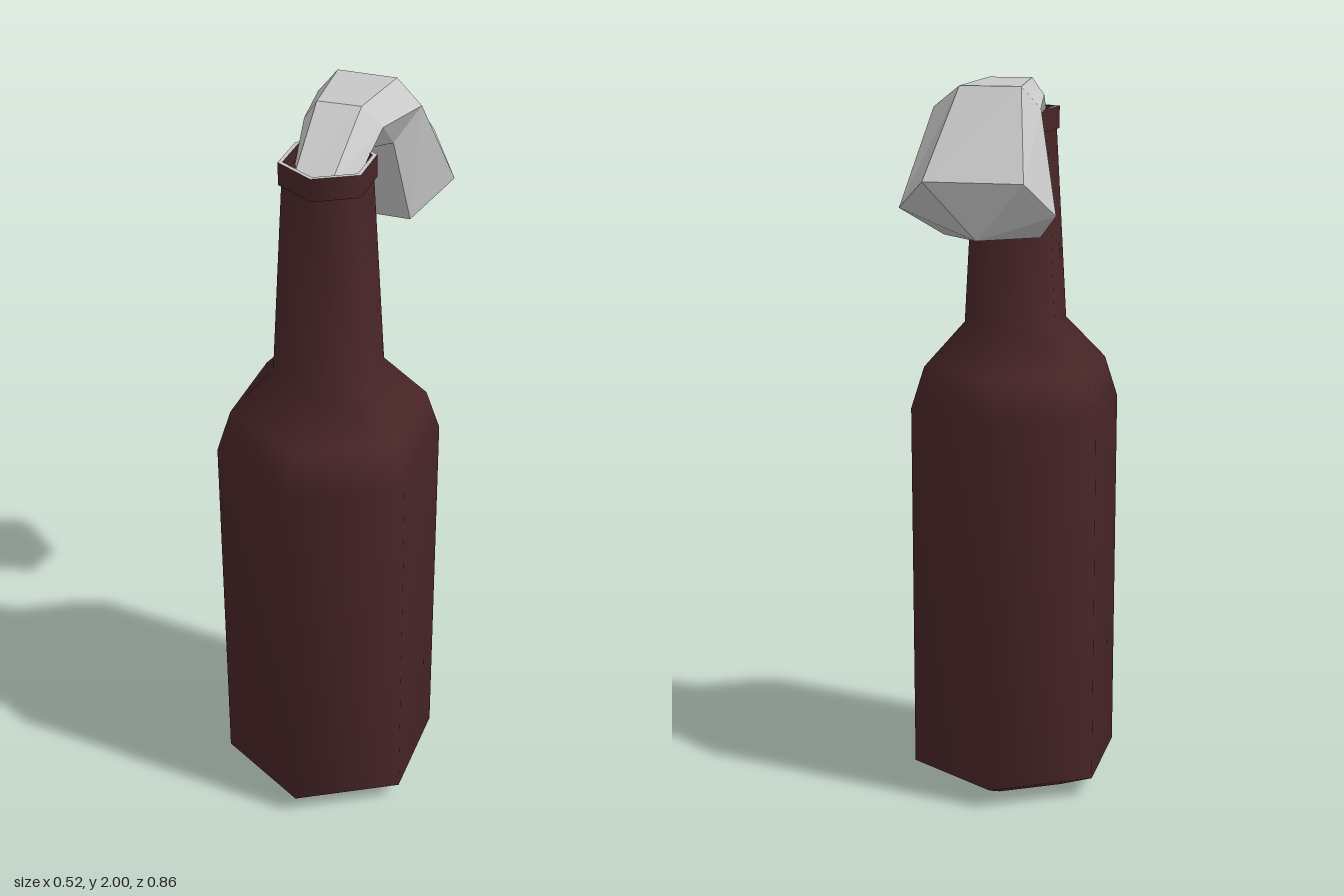
import * as THREE from 'three';

const glass = new THREE.MeshStandardMaterial({ color: 0x4a2628 });
glass.name = 'brown glass';
const cloth = new THREE.MeshStandardMaterial({ color: 0xc8c8c8, flatShading: true });
cloth.name = 'pale cloth';

// Six-sided turned part from [radius, y] pairs
function turned(name, profile, material) {
  const points = profile.map(([r, y]) => new THREE.Vector2(r, y));
  const mesh = new THREE.Mesh(new THREE.LatheGeometry(points, 6), material);
  mesh.name = name;
  return mesh;
}

// Loft through equal-sized rings, closed at both ends by a fan to a point
function loft(rings, startPoint, endPoint) {
  const pos = [];
  const tri = (a, b, c) => pos.push(...a, ...b, ...c);
  const n = rings[0].length;
  for (let k = 0; k < n; k++) {
    const m = (k + 1) % n;
    for (let i = 0; i < rings.length - 1; i++) {
      const [p, q] = [rings[i], rings[i + 1]];
      tri(p[k], p[m], q[m]);
      tri(p[k], q[m], q[k]);
    }
    const last = rings[rings.length - 1];
    tri(endPoint, last[k], last[m]);
    tri(startPoint, rings[0][m], rings[0][k]);
  }
  const geometry = new THREE.BufferGeometry();
  geometry.setAttribute('position', new THREE.Float32BufferAttribute(pos, 3));
  geometry.computeVertexNormals();
  return geometry;
}

export function createModel() {
  const model = new THREE.Group();
  model.name = 'bottle with rag';

  // Bottle
  const bottle = new THREE.Group();
  bottle.name = 'bottle';
  bottle.position.z = 0.13;
  bottle.add(
    turned('base', [[0, 0], [0.183, 0]], glass),
    turned('body', [[0.183, 0], [0.3, 0.055], [0.3, 1.1], [0.262, 1.215], [0.146, 1.335], [0.115, 1.86]], glass),
    turned('rimUnderside', [[0.112, 1.855], [0.123, 1.855]], glass),
    turned('rim', [[0.123, 1.855], [0.123, 1.915]], glass),
    turned('rimTop', [[0.123, 1.915], [0.111, 1.915]], cloth),
    turned('mouthWall', [[0.111, 1.915], [0.111, 1.88]], glass),
    turned('mouthFloor', [[0.111, 1.88], [0, 1.88]], glass),
  );
  model.add(bottle);

  // Rag: rings run from the mouth to the hanging end,
  // each as top left, top right, side, bottom right, bottom left, side
  const rings = [
    [[-0.065, 1.87, 0.21], [0.03, 1.87, 0.21], [0.075, 1.86, 0.15],
      [0.04, 1.83, 0.08], [-0.05, 1.83, 0.08], [-0.085, 1.86, 0.15]],
    [[-0.075, 2, 0], [0.04, 2, -0.005], [0.098, 1.955, 0],
      [0.045, 1.89, 0.005], [-0.06, 1.89, 0.005], [-0.105, 1.955, 0.01]],
    [[-0.1, 1.99, -0.225], [0.06, 1.99, -0.225], [0.135, 1.935, -0.2],
      [0.08, 1.85, -0.14], [-0.1, 1.85, -0.14], [-0.145, 1.935, -0.2]],
    [[-0.145, 1.765, -0.385], [0.1, 1.77, -0.43], [0.195, 1.69, -0.315],
      [0.11, 1.61, -0.2], [-0.145, 1.61, -0.2], [-0.21, 1.68, -0.31]],
  ];
  const rag = new THREE.Mesh(loft(rings, [0, 1.84, 0.14], [-0.02, 1.62, -0.37]), cloth);
  rag.name = 'rag';
  model.add(rag);
  return model;
}
